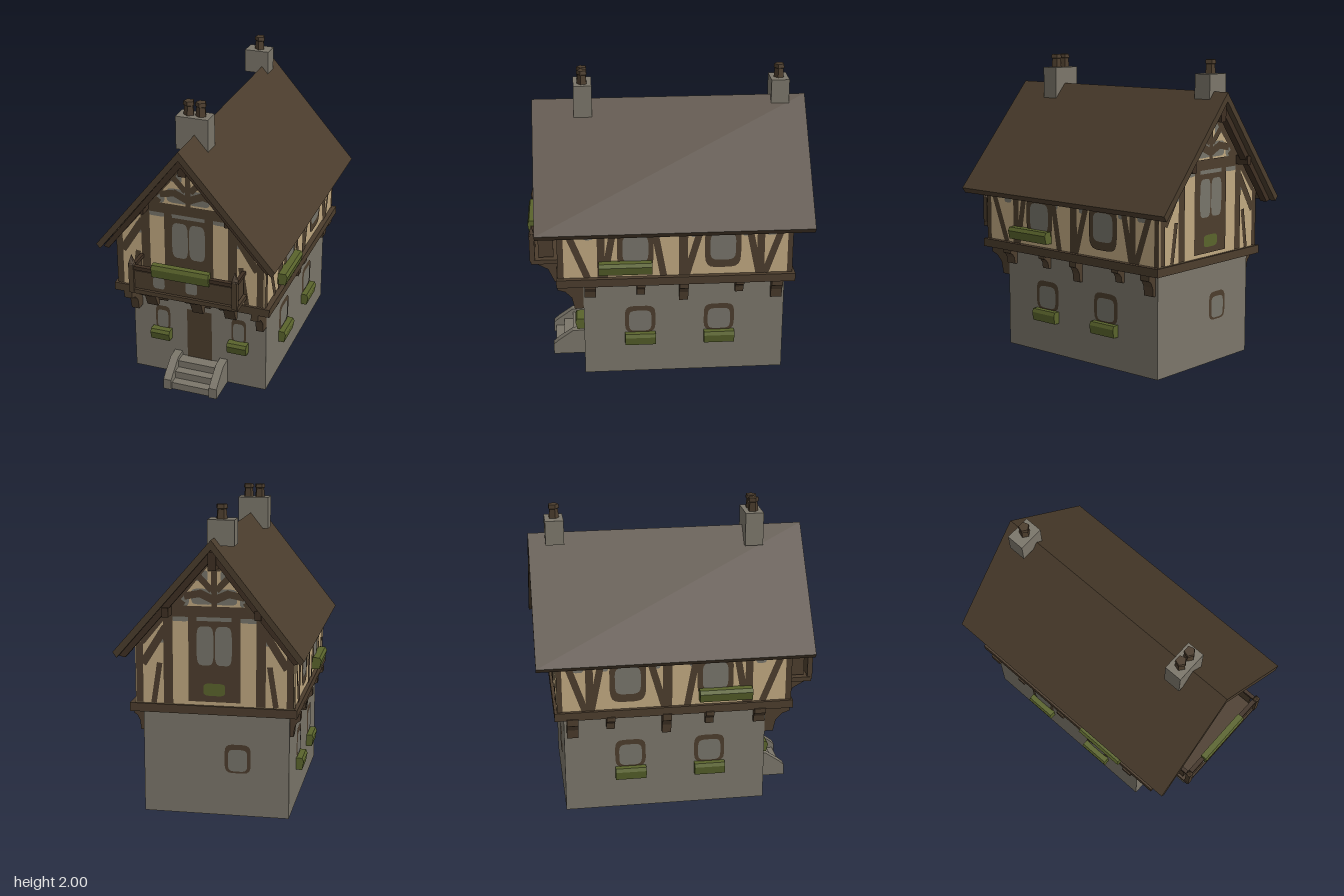
import * as THREE from 'three';

const mat = (name, color) => {
  const m = new THREE.MeshStandardMaterial({ color });
  m.name = name;
  return m;
};

export function createModel() {
  const model = new THREE.Group();
  model.name = 'timberHouse';
  const stone = mat('stone', 0x7b766a), plaster = mat('plaster', 0xc0a880), timber = mat('timber', 0x4c3d2d),
    roofMat = mat('roofBrown', 0x4a3c2c), green = mat('plantGreen', 0x5a642c), glass = mat('greyPane', 0x77746a),
    dark = mat('darkWood', 0x3e2f22);

  // ---- helpers ----
  const add = (parent, name, geo, m, x = 0, y = 0, z = 0) => {
    const mesh = new THREE.Mesh(geo, m);
    mesh.name = name;
    mesh.position.set(x, y, z);
    parent.add(mesh);
    return mesh;
  };
  // box given by its limits
  const box = (parent, name, m, x0, x1, y0, y1, z0, z1) =>
    add(parent, name, new THREE.BoxGeometry(x1 - x0, y1 - y0, z1 - z0), m, (x0 + x1) / 2, (y0 + y1) / 2, (z0 + z1) / 2);
  const shapeOf = pts => new THREE.Shape(pts.map(p => new THREE.Vector2(p[0], p[1])));
  const extrude = (pts, depth) => new THREE.ExtrudeGeometry(shapeOf(pts), { depth, bevelEnabled: false });
  // side profile (out, up) swept along the wall, centred
  const sweep = (pts, w) => extrude(pts, w).rotateY(-Math.PI / 2).translate(w / 2, 0, 0);
  // a wall frame: local x along the wall, local z outwards
  const wall = (name, x, z, turn) => {
    const g = new THREE.Group();
    g.name = name;
    g.position.set(x, 0, z);
    g.rotation.y = turn;
    model.add(g);
    return g;
  };
  // flat painted strip between two points
  const strip = (g, u0, v0, u1, v1, w, m = timber, layer = 0.006) => {
    const l = Math.hypot(u1 - u0, v1 - v0), a = -(v1 - v0) / l * w / 2, b = (u1 - u0) / l * w / 2;
    add(g, 'timberStrip', new THREE.ShapeGeometry(shapeOf([
      [u0 - a, v0 - b], [u1 - a, v1 - b], [u1 + a, v1 + b], [u0 + a, v0 + b]])), m, 0, 0, layer);
  };
  // flat painted patch with rounded corners
  const patch = (g, name, u, v, w, h, m, layer) => {
    const pts = [], soft = t => Math.sign(t) * Math.pow(Math.abs(t), 0.45);
    for (let i = 0; i < 20; i++) {
      const t = (i + 0.5) / 20 * Math.PI * 2;
      pts.push([u + soft(Math.cos(t)) * w / 2, v + soft(Math.sin(t)) * h / 2]);
    }
    add(g, name, new THREE.ShapeGeometry(shapeOf(pts)), m, 0, 0, layer);
  };
  const planter = (g, u, v, w, h, d, z = 0) => add(g, 'flowerBox', sweep([
    [0, -h / 2], [d * 0.8, -h / 2], [d, h * 0.2], [d * 0.8, h / 2], [0, h / 2]], w), green, u, v, z);
  const corbel = (g, u, top, w, h, d) => add(g, 'corbel', sweep([
    [0, 0], [0, -h], [d * 0.35, -h], [d * 0.45, -h * 0.6], [d * 0.7, -h * 0.38], [d, -h * 0.3], [d, 0]], w), timber, u, top, 0);
  const stoneWindow = (g, u, v, w, h) => {
    patch(g, 'windowFrame', u, v, w, h, timber, 0.003);
    patch(g, 'windowPane', u, v - 0.01, w * 0.74, h * 0.76, glass, 0.006);
  };

  // ---- ground floor, upper floor and sill ----
  box(model, 'groundFloor', stone, -0.49, 0.45, 0, 0.7, -0.76, 0.58);
  add(model, 'upperFloor', extrude([[-0.52, 0.7], [0.49, 0.7], [0.49, 1.16], [-0.025, 1.76], [-0.52, 1.13]], 1.54),
    plaster, 0, 0, -0.8);
  box(model, 'sillBeam', timber, -0.545, 0.525, 0.68, 0.735, -0.82, 0.755);

  // ---- roof ----
  add(model, 'roof', extrude([[-0.6, 1.075], [-0.575, 1.045], [-0.025, 1.74], [0.575, 1.05], [0.6, 1.085],
    [-0.025, 1.8]], 1.815), roofMat, 0, 0, -0.93);
  for (const z of [0.8, -0.89])
    add(model, 'gableRafters', extrude([[-0.565, 1.05], [-0.53, 1.04], [-0.025, 1.68], [0.53, 1.045], [0.57, 1.055],
      [-0.025, 1.742]], 0.05), dark, 0, 0, z);
  for (const z of [0.77, -0.85]) {
    box(model, 'ridgeBeamEnd', dark, -0.05, 0, 1.61, 1.72, z - 0.05, z + 0.06);
    for (const x of [-0.31, 0.27]) box(model, 'purlinEnd', dark, x - 0.02, x + 0.02, 1.31, 1.37, z - 0.05, z + 0.06);
  }

  // ---- chimneys with five-sided pots ----
  const chimney = (x0, x1, y0, z0, z1, pots) => {
    box(model, 'chimney', stone, x0, x1, y0, 1.91, z0, z1);
    const profile = [[0, 0], [0.036, 0], [0.03, 0.06], [0.038, 0.065], [0.034, 0.09], [0, 0.09]];
    for (const x of pots) {
      const geo = new THREE.LatheGeometry(profile.map(p => new THREE.Vector2(...p)), 5).toNonIndexed();
      geo.computeVertexNormals();
      add(model, 'chimneyPot', geo, timber, x, 1.91, (z0 + z1) / 2);
    }
  };
  chimney(-0.15, 0.065, 1.69, 0.49, 0.61, [-0.08, 0.0]);
  chimney(-0.15, 0.02, 1.75, -0.82, -0.7, [-0.06]);

  // ---- timbered gables, front and back ----
  const gable = (g, c) => {
    const L = (a, b, p, q, w, m, k) => strip(g, c + a, b, c + p, q, w, m, k);
    for (const s of [-1, 1]) {
      L(s * 0.48, 0.74, s * 0.48, 1.13, 0.045);           // corner post
      L(s * 0.295, 0.74, s * 0.295, 1.33, 0.06);          // inner post
      L(s * 0.31, 1.23, s * 0.46, 0.99, 0.05);            // outer brace
      L(s * 0.39, 0.74, s * 0.35, 1.0, 0.035);
      L(s * 0.47, 1.13, s * 0.03, 1.67, 0.05);            // painted rafter
      L(0, 1.41, s * 0.1, 1.455, 0.05);                   // curved gable brace
      L(s * 0.09, 1.45, s * 0.19, 1.43, 0.045);
      L(s * 0.015, 1.47, s * 0.1, 1.56, 0.04);
      L(s * 0.2, 1.36, s * 0.26, 1.4, 0.07);
      for (const [u, v, w, h] of [[0.07, 1.43, 0.15, 0.1], [0.08, 1.56, 0.08, 0.07], [0.22, 1.29, 0.12, 0.04],
        [0.2, 1.41, 0.08, 0.08], [0.33, 1.17, 0.07, 0.08]])
        patch(g, 'greyEdge', c + s * u, v, w, h, glass, 0.003);
      patch(g, 'balconyPane', c + s * 0.058, 1.12, 0.108, 0.25, glass, 0.009);
    }
    L(-0.34, 1.335, 0.34, 1.335, 0.07);                   // tie beam
    L(0, 1.37, 0, 1.68, 0.035);                           // king post
    L(0, 1.59, 0, 1.69, 0.08);
    L(0, 0.76, 0, 1.31, 0.33);                            // window surround
    L(-0.11, 1.29, 0.11, 1.29, 0.025, glass, 0.009);
  };
  const front = wall('frontGable', 0, 0.74, 0), back = wall('backGable', 0, -0.8, Math.PI);
  gable(front, -0.02);
  gable(back, 0.02);
  patch(back, 'plantPatch', 0.02, 0.84, 0.14, 0.08, green, 0.0095);
  const backLow = wall('backStoneWall', 0, -0.76, Math.PI);
  stoneWindow(backLow, 0.16, 0.38, 0.17, 0.19);

  // ---- long sides, mirrored ----
  for (const s of [1, -1]) {
    const up = wall('sideTimberWall', s > 0 ? 0.49 : -0.52, 0, s * Math.PI / 2);
    const low = wall('sideStoneWall', s > 0 ? 0.45 : -0.49, 0, s * Math.PI / 2);
    const T = (z0, v0, z1, v1, w) => strip(up, -s * z0, v0, -s * z1, v1, w);
    for (const [z, w] of [[0.725, 0.04], [0.46, 0.05], [-0.08, 0.06], [-0.59, 0.05], [-0.785, 0.035]])
      T(z, 0.735, z, 1.14, w);
    for (const [z0, z1] of [[0.7, 0.55], [0.37, 0.44], [0.12, 0.05], [-0.21, -0.1], [-0.5, -0.58], [-0.75, -0.62]])
      T(z0, 1.12, z1, 0.735, 0.045);
    T(0.72, 1.1, -0.79, 1.1, 0.05);
    for (const z of [0.54, 0.1, -0.16, -0.5, -0.66])
      patch(up, 'greyEdge', -s * z, 1.05, 0.07, 0.09, glass, 0.003);
    for (const z of [0.235, -0.34]) {
      patch(up, 'windowFrame', -s * z, 0.94, 0.24, 0.31, timber, 0.007);
      patch(up, 'windowPane', -s * z, 0.935, 0.17, 0.19, glass, 0.0095);
    }
    planter(up, -s * 0.24, 0.81, 0.225, 0.08, 0.065);
    planter(up, -s * 0.36, 0.81, 0.235, 0.08, 0.065);
    for (const z of [0.205, -0.325]) {
      stoneWindow(low, -s * z, 0.395, 0.205, 0.2);
      planter(low, -s * z, 0.26, 0.205, 0.08, 0.05);
    }
    for (const [z, h, w] of [[0.535, 0.11, 0.075], [0.2, 0.1, 0.055], [-0.085, 0.15, 0.06], [-0.455, 0.1, 0.055], [-0.705, 0.15, 0.075]])
      corbel(low, -s * z, 0.69, w, h, 0.065);
  }

  // ---- ground floor front: door, windows, corbels ----
  const face = wall('frontStoneWall', 0, 0.58, 0);
  strip(face, -0.018, 0.13, -0.018, 0.52, 0.175, timber, 0.004);
  for (const x of [-0.28, 0.26]) {
    stoneWindow(face, x, 0.42, 0.105, 0.18);
    planter(face, x + (x < 0 ? -0.005 : 0), 0.307, 0.135, 0.075, 0.06);
  }
  for (const [x, w, h] of [[-0.455, 0.055, 0.2], [-0.27, 0.1, 0.1], [0.045, 0.075, 0.1], [0.215, 0.06, 0.08], [0.425, 0.05, 0.2]])
    corbel(face, x, 0.69, w, h, 0.17);

  // ---- front steps ----
  for (let i = 0; i < 3; i++) box(model, 'step', stone, -0.15, 0.13, 0, 0.05 * (i + 1), 0.57, 0.78 - i * 0.06);
  for (const x of [-0.172, 0.152])
    add(model, 'stepWall', sweep([[0, 0], [0.215, 0], [0.215, 0.075], [0.18, 0.105], [0.08, 0.175], [0, 0.18]], 0.055),
      stone, x, 0, 0.58);

  // ---- balcony ----
  const balcony = new THREE.Group();
  balcony.name = 'balcony';
  model.add(balcony);
  box(balcony, 'balconyFloor', timber, -0.365, 0.37, 0.785, 0.815, 0.74, 0.92);
  box(balcony, 'balconyPanel', timber, -0.335, 0.335, 0.82, 0.945, 0.895, 0.91);
  box(balcony, 'balconyRail', dark, -0.35, 0.35, 0.955, 0.98, 0.89, 0.92);
  for (const x of [-0.16, 0.06])
    patch(balcony, 'panelPatch', x, 0.885, 0.08, 0.08, glass, 0.913);
  for (const x of [-0.345, 0.35]) {
    box(balcony, 'balconyPost', timber, x - 0.017, x + 0.017, 0.8, 1.0, 0.893, 0.927);
    add(balcony, 'postFinial', new THREE.ConeGeometry(0.027, 0.07, 4).rotateY(Math.PI / 4), timber, x, 1.025, 0.91);
    box(balcony, 'sideRail', dark, x - 0.012, x + 0.012, 0.955, 0.98, 0.74, 0.9);
    box(balcony, 'sidePanel', timber, x - 0.007, x + 0.007, 0.83, 0.955, 0.77, 0.87);
  }
  for (const x of [-0.27, 0.045, 0.27])
    add(balcony, 'balconyBracket', sweep([[0, 0], [0, -0.16], [0.03, -0.16], [0.07, -0.07], [0.15, -0.025], [0.15, 0]], 0.075),
      timber, x, 0.786, 0.74);
  planter(balcony, -0.01, 0.975, 0.385, 0.085, 0.05, 0.89);

  return model;
}
